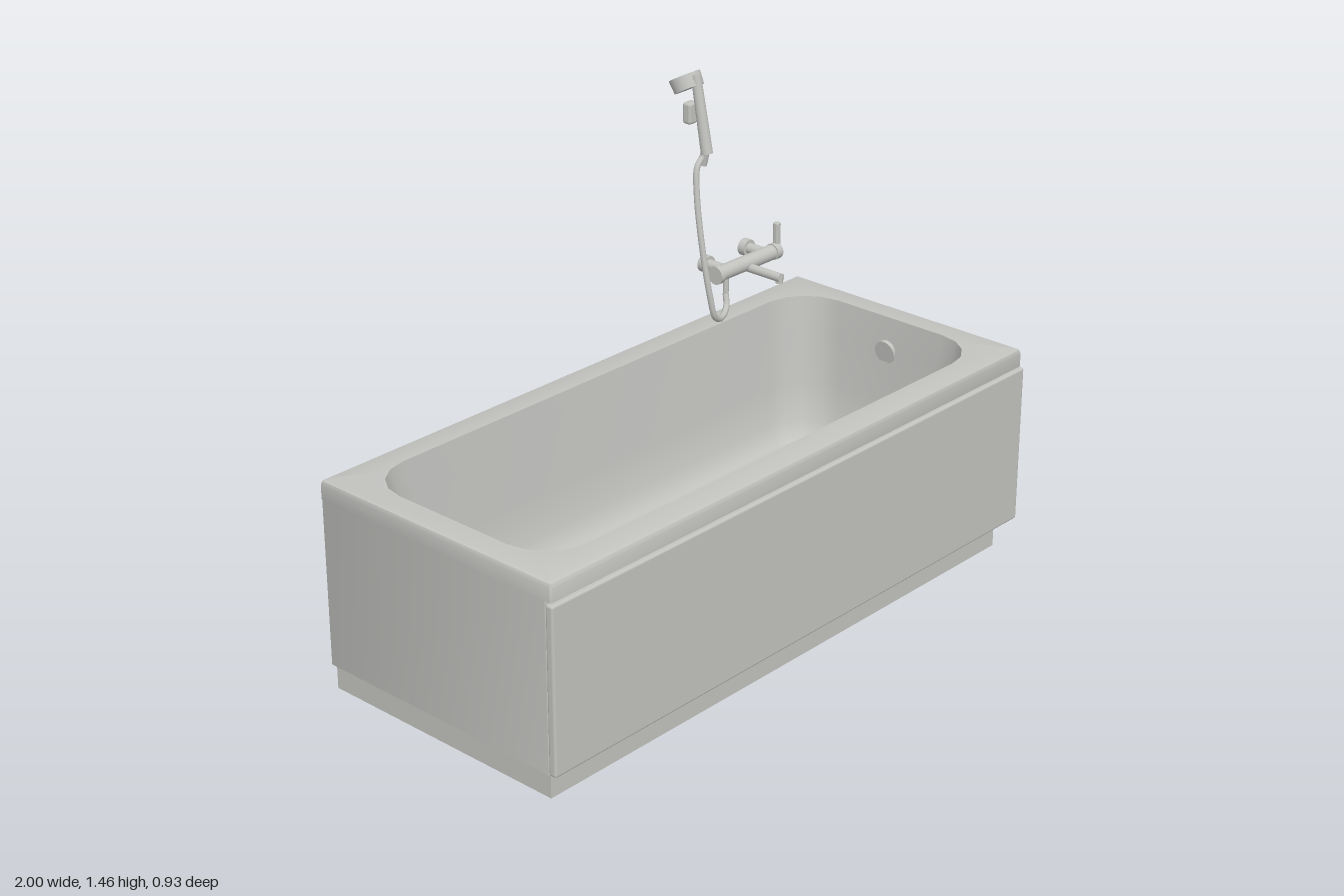
import * as THREE from 'three';
import { toCreasedNormals } from 'three/addons/utils/BufferGeometryUtils.js';
import { RoundedBoxGeometry } from 'three/addons/geometries/RoundedBoxGeometry.js';

const grey = new THREE.MeshStandardMaterial({ color: 0xc2c2bf });
grey.name = 'soft grey';

const V = (x, y, z) => new THREE.Vector3(x, y, z);

function add(parent, name, geometry, x = 0, y = 0, z = 0) {
  const mesh = new THREE.Mesh(geometry, grey);
  mesh.name = name;
  mesh.position.set(x, y, z);
  parent.add(mesh);
  return mesh;
}

// Box given by its two corners
function box(parent, name, [x0, x1], [y0, y1], [z0, z1], r = 0) {
  const s = [x1 - x0, y1 - y0, z1 - z0];
  const geometry = r ? new RoundedBoxGeometry(...s, 2, r) : new THREE.BoxGeometry(...s);
  return add(parent, name, geometry, (x0 + x1) / 2, (y0 + y1) / 2, (z0 + z1) / 2);
}

// Cylinder from point a to point b
function rod(parent, name, a, b, ra, rb = ra, sides = 24) {
  const dir = b.clone().sub(a);
  const mesh = add(parent, name, new THREE.CylinderGeometry(rb, ra, dir.length(), sides));
  mesh.position.copy(a).add(b).multiplyScalar(0.5);
  mesh.quaternion.setFromUnitVectors(V(0, 1, 0), dir.normalize());
  return mesh;
}

// Horizontal rounded rectangle with a fixed number of points
function ring(x0, x1, z0, z1, r, y, steps = 4) {
  const pts = [];
  const corners = [[x1 - r, z1 - r], [x0 + r, z1 - r], [x0 + r, z0 + r], [x1 - r, z0 + r]];
  corners.forEach(([cx, cz], k) => {
    for (let i = 0; i <= steps; i++) {
      const a = (k + i / steps) * Math.PI / 2;
      pts.push([cx + r * Math.cos(a), y, cz + r * Math.sin(a)]);
    }
  });
  return pts;
}

// Skin over a stack of rings, closed at both ends
function loft(rings) {
  const n = rings[0].length;
  const pos = rings.flat(2);
  const index = [];
  for (let i = 0; i < rings.length - 1; i++) {
    for (let j = 0; j < n; j++) {
      const a = i * n + j, b = i * n + (j + 1) % n;
      index.push(a, a + n, b, b, a + n, b + n);
    }
  }
  [0, rings.length - 1].forEach((k) => {
    const c = pos.length / 3;
    const mid = [0, 1, 2].map((d) => rings[k].reduce((s, p) => s + p[d], 0) / n);
    pos.push(...mid);
    for (let j = 0; j < n; j++) {
      const a = k * n + j, b = k * n + (j + 1) % n;
      if (k) index.push(c, b, a); else index.push(c, a, b);
    }
  });
  const g = new THREE.BufferGeometry();
  g.setAttribute('position', new THREE.Float32BufferAttribute(pos, 3));
  g.setIndex(index);
  return toCreasedNormals(g, 0.7);
}

export function createModel() {
  const model = new THREE.Group();
  model.name = 'bathtub';

  // Tub: outer body, overhanging rim, then the hollow down to the floor
  add(model, 'tub', loft([
    ring(-0.995, 0.972, -0.418, 0.435, 0.006, 0.085),
    ring(-0.995, 0.972, -0.418, 0.435, 0.006, 0.598),
    ring(-0.997, 0.99, -0.418, 0.455, 0.006, 0.598),
    ring(-0.997, 0.99, -0.418, 0.455, 0.006, 0.64),
    ring(-0.993, 0.986, -0.414, 0.451, 0.006, 0.651),
    ring(-0.985, 0.978, -0.406, 0.443, 0.006, 0.655),
    ring(-0.92, 0.91, -0.335, 0.37, 0.15, 0.655),
    ring(-0.895, 0.9, -0.322, 0.357, 0.15, 0.55),
    ring(-0.85, 0.885, -0.305, 0.34, 0.15, 0.38),
    ring(-0.81, 0.868, -0.29, 0.325, 0.15, 0.26),
    ring(-0.77, 0.845, -0.265, 0.3, 0.14, 0.205),
    ring(-0.71, 0.8, -0.22, 0.255, 0.12, 0.175),
    ring(-0.63, 0.74, -0.16, 0.195, 0.09, 0.165),
  ]));

  // Covering panels and recessed base
  box(model, 'frontPanel', [-1, 1], [0.088, 0.592], [0.435, 0.462], 0.008);
  box(model, 'endPanel', [0.974, 1], [0.088, 0.592], [-0.418, 0.462], 0.008);
  box(model, 'plinth', [-0.975, 0.945], [0, 0.086], [-0.418, 0.418]);

  // Drain and overflow
  rod(model, 'drain', V(0.72, 0.16, 0.015), V(0.72, 0.172, 0.015), 0.037);
  rod(model, 'overflow', V(0.91, 0.545, 0.015), V(0.893, 0.543, 0.015), 0.037);

  // Wall-mounted mixer tap
  const tap = new THREE.Group();
  tap.name = 'tap';
  model.add(tap);
  const ty = 0.823, tz = -0.328;
  rod(tap, 'tapBody', V(0.51, ty, tz), V(0.755, ty, tz), 0.024);
  rod(tap, 'leftKnob', V(0.495, ty, tz), V(0.513, ty, tz), 0.029);
  rod(tap, 'leverHub', V(0.758, ty, tz), V(0.782, ty, tz), 0.026);
  box(tap, 'lever', [0.77, 0.79], [0.825, 0.915], [tz - 0.01, tz + 0.01], 0.006);
  for (const x of [0.545, 0.73]) {
    rod(tap, 'wallPipe', V(x, ty + 0.003, -0.4), V(x, ty + 0.003, tz), 0.017);
    rod(tap, 'wallFlange', V(x, ty + 0.003, -0.42), V(x, ty + 0.003, -0.395), 0.027);
  }
  rod(tap, 'spout', V(0.637, 0.811, tz), V(0.637, 0.811, -0.187), 0.014);
  rod(tap, 'spoutTip', V(0.637, 0.815, -0.195), V(0.637, 0.794, -0.195), 0.011);
  rod(tap, 'hoseOutlet', V(0.545, ty, tz), V(0.545, 0.74, tz), 0.009);

  // Hand shower with hanging hose
  const shower = new THREE.Group();
  shower.name = 'shower';
  model.add(shower);
  const path = new THREE.CatmullRomCurve3([
    V(0.545, 0.75, -0.328), V(0.533, 0.715, -0.315), V(0.487, 0.699, -0.293),
    V(0.44, 0.72, -0.278), V(0.42, 0.79, -0.28), V(0.411, 0.95, -0.305),
    V(0.418, 1.1, -0.332), V(0.432, 1.18, -0.344), V(0.457, 1.208, -0.345),
    V(0.463, 1.235, -0.34),
  ]);
  add(shower, 'hose', new THREE.TubeGeometry(path, 90, 0.0095, 10));
  rod(shower, 'handle', V(0.463, 1.218, -0.333), V(0.463, 1.452, -0.378), 0.018, 0.015);
  rod(shower, 'handleCollar', V(0.463, 1.18, -0.346), V(0.463, 1.22, -0.336), 0.01);
  rod(shower, 'showerHead', V(0.463, 1.438, -0.423), V(0.463, 1.402, -0.403), 0.049, 0.046, 32);
  rod(shower, 'headNeck', V(0.463, 1.445, -0.373), V(0.463, 1.427, -0.41), 0.016, 0.018);
  box(shower, 'wallHolder', [0.444, 0.484], [1.297, 1.363], [-0.416, -0.384], 0.009);

  return model;
}
